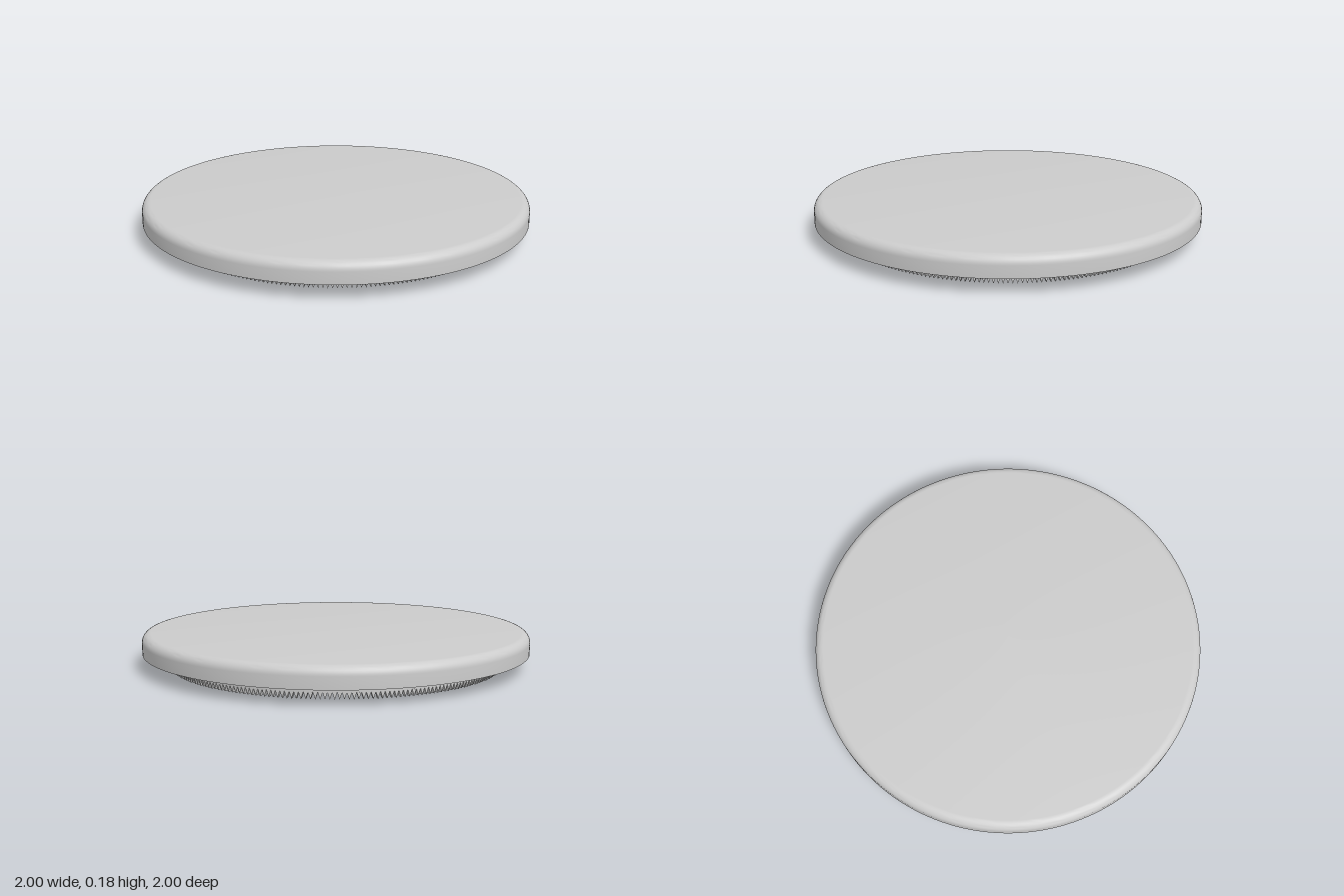
import * as THREE from 'three';
import { mergeGeometries, toCreasedNormals } from 'three/addons/utils/BufferGeometryUtils.js';

const TEETH = 250;
const OUTER = 0.86, INNER = 0.835; // collar radii
const UNDER = 0.075, TOP = 0.18;   // disc underside and top
const ROOT = 0.033;                // height where the teeth begin

const material = new THREE.MeshStandardMaterial({ color: 0xcccccc });

function lathe(points, segments) {
  const profile = points.map(([r, y]) => new THREE.Vector2(r, y));
  return toCreasedNormals(new THREE.LatheGeometry(profile, segments), Math.PI / 5);
}

function part(name, geometry) {
  const mesh = new THREE.Mesh(geometry, material);
  mesh.name = name;
  return mesh;
}

export function createModel() {
  const group = new THREE.Group();
  group.name = 'toothedCap';

  // Disc with a rounded upper edge
  const fillet = 0.045;
  const profile = [[0, UNDER], [1, UNDER]];
  for (let i = 0; i <= 8; i++) {
    const a = (i / 8) * Math.PI / 2;
    profile.push([1 - fillet + fillet * Math.cos(a), TOP - fillet + fillet * Math.sin(a)]);
  }
  profile.push([0, TOP]);
  group.add(part('disc', lathe(profile, 160)));

  // Thin collar under the disc
  group.add(part('collar', lathe(
    [[INNER, UNDER], [INNER, ROOT], [OUTER, ROOT], [OUTER, UNDER]], TEETH)));

  // Fine triangular teeth along the collar's lower rim
  const half = OUTER * Math.tan(Math.PI / TEETH);
  const triangle = new THREE.Shape([
    new THREE.Vector2(-half, ROOT),
    new THREE.Vector2(0, 0),
    new THREE.Vector2(half, ROOT),
  ]);
  const tooth = new THREE.ExtrudeGeometry(triangle, { depth: OUTER - INNER, bevelEnabled: false });
  tooth.translate(0, 0, INNER);
  const teeth = [];
  for (let i = 0; i < TEETH; i++) {
    teeth.push(tooth.clone().rotateY(((i + 0.5) / TEETH) * Math.PI * 2));
  }
  group.add(part('teeth', mergeGeometries(teeth)));

  return group;
}
